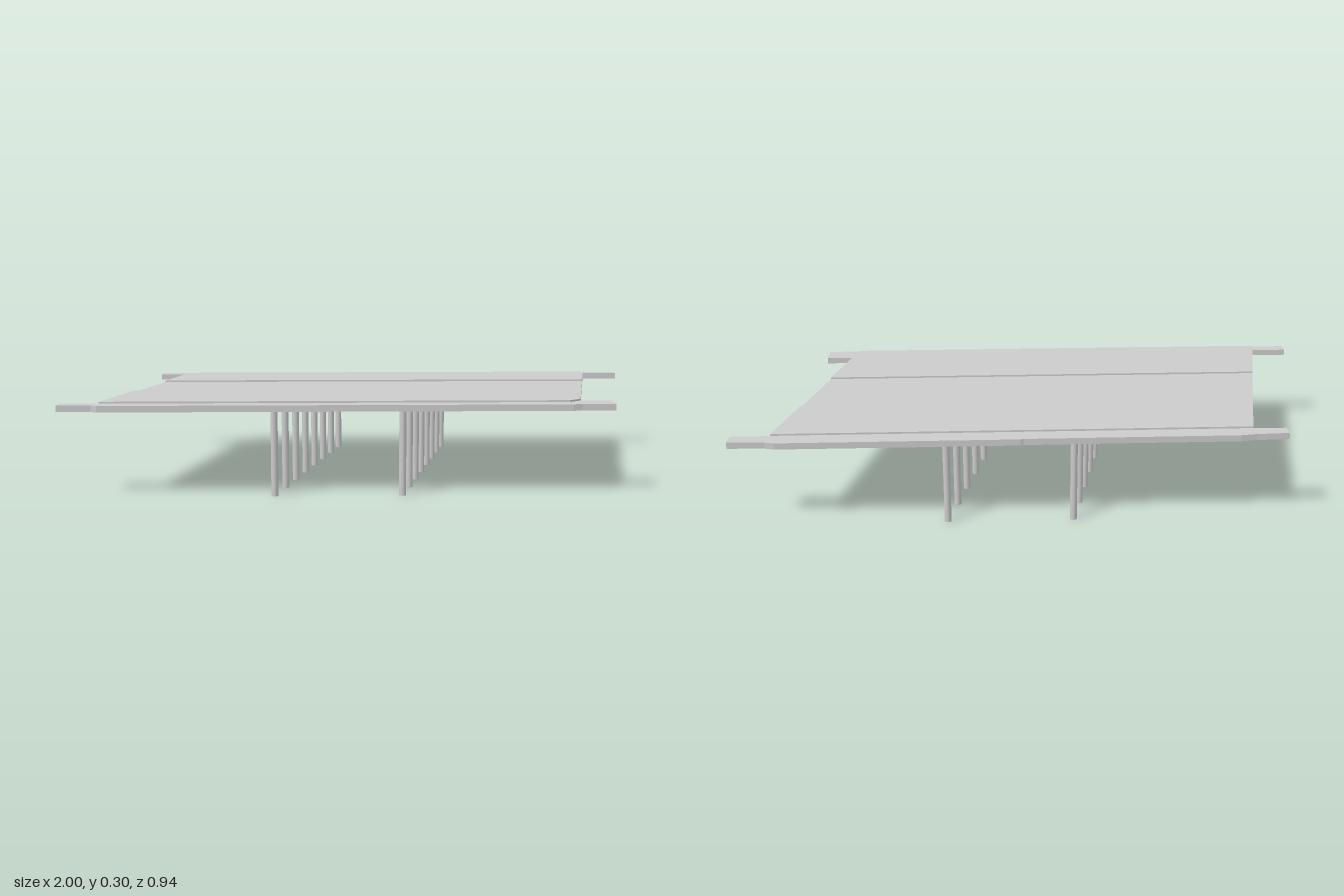
import * as THREE from 'three';

const material = new THREE.MeshStandardMaterial({ color: 0xcccccc });

// Flat slab from a plan outline of [x, z] points between two heights
function slab(name, outline, bottom, top) {
  const shape = new THREE.Shape(outline.map(([x, z]) => new THREE.Vector2(x, -z)));
  const geometry = new THREE.ExtrudeGeometry(shape, { depth: top - bottom, bevelEnabled: false });
  geometry.rotateX(-Math.PI / 2);
  const mesh = new THREE.Mesh(geometry, material);
  mesh.position.y = bottom;
  mesh.name = name;
  return mesh;
}

// Skewed ends of the deck
const leftEnd = (z) => 0.69 + (0.38 - z) * 0.228;
const rightEnd = (z) => -0.69 - (z + 0.41) * 0.222;

export function createModel() {
  const group = new THREE.Group();
  group.name = 'skewedBridge';
  const deckBottom = 0.277, deckTop = 0.298, laneTop = 0.304;

  // Deck with the four wing walls at its corners
  group.add(slab('deck', [
    [-0.8, -0.455], [-0.69, -0.46], [-0.64, -0.468], [0.06, -0.469], [0.07, -0.472],
    [0.85, -0.472], [0.88, -0.462], [1, -0.459], [1, -0.41],
    [leftEnd(-0.41), -0.41], [0.69, 0.38], [0.79, 0.38], [0.79, 0.458],
    [0.68, 0.46], [0.65, 0.467], [-0.87, 0.467], [-0.89, 0.456], [-1, 0.456], [-1, 0.41],
    [rightEnd(0.41), 0.41], [-0.69, -0.41], [-0.8, -0.41],
  ], deckBottom, deckTop));

  // Raised strips on either side of the lower middle
  group.add(slab('frontLane', [
    [rightEnd(0.413), 0.413], [0.65, 0.413], [0.69, 0.38],
    [leftEnd(0.135), 0.135], [rightEnd(0.135), 0.135],
  ], deckTop, laneTop));
  group.add(slab('backLane', [
    [rightEnd(-0.158), -0.158], [leftEnd(-0.158), -0.158],
    [leftEnd(-0.408), -0.408], [rightEnd(-0.408), -0.408],
  ], deckTop, laneTop));

  // Two rows of round piles, parallel to the skewed ends
  const pileGeometry = new THREE.CylinderGeometry(0.0115, 0.0115, deckBottom, 20);
  for (const [side, startX] of [['right', -0.309], ['left', 0.104]]) {
    const row = new THREE.Group();
    row.name = side + 'PileRow';
    for (let i = 0; i < 8; i++) {
      const pile = new THREE.Mesh(pileGeometry, material);
      pile.name = 'pile';
      pile.position.set(startX + i * 0.0293, deckBottom / 2, 0.447 - i * 0.127);
      row.add(pile);
    }
    group.add(row);
  }
  return group;
}
